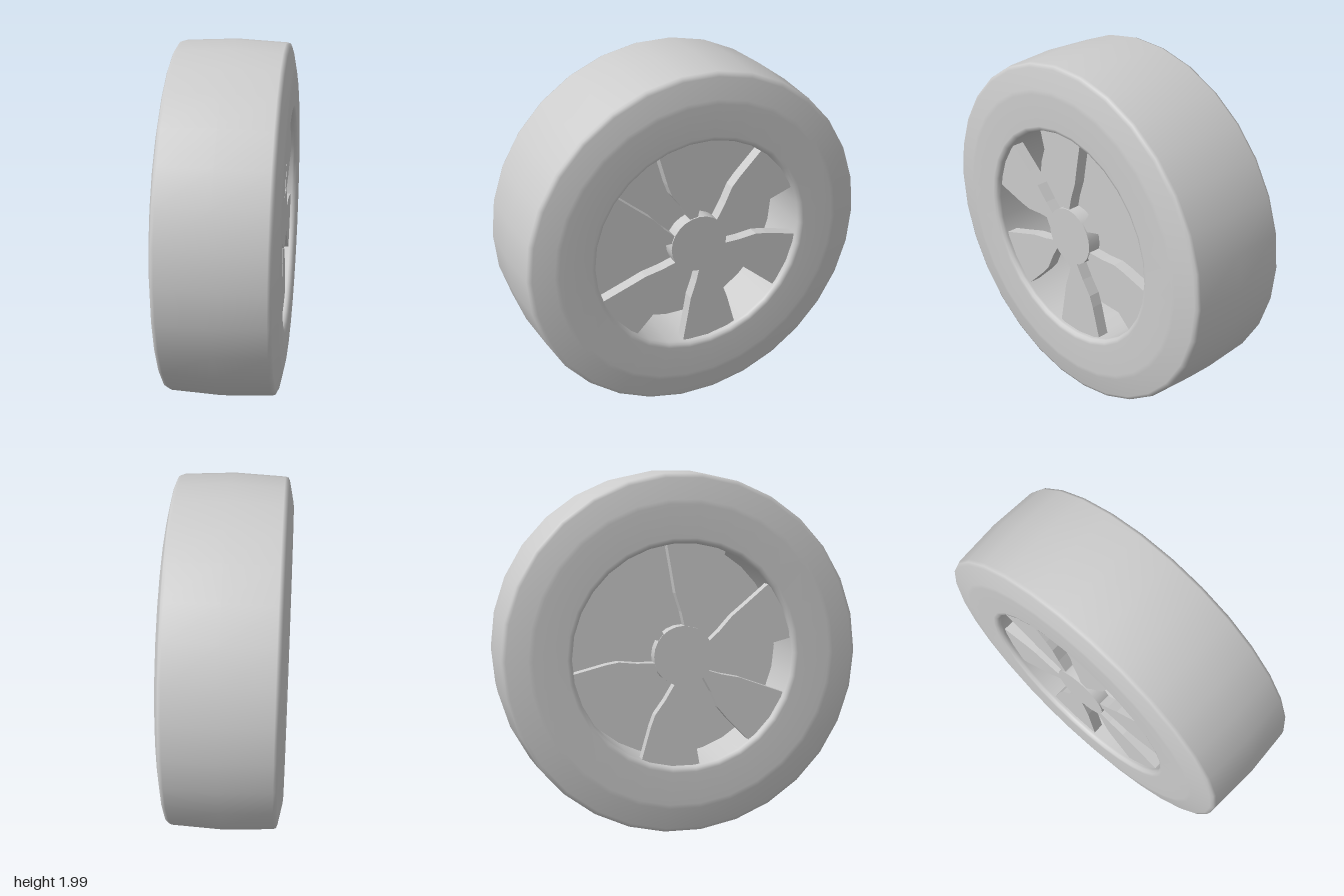
import * as THREE from 'three';

const SIDES = 30;

export function createModel() {
  const model = new THREE.Group();
  model.name = 'wheel';
  const grey = new THREE.MeshStandardMaterial({ color: 0xcccccc });
  grey.name = 'light grey';
  const greyThin = grey.clone();
  greyThin.side = THREE.DoubleSide;

  const add = (name, geometry, material = grey) => {
    const mesh = new THREE.Mesh(geometry, material);
    mesh.name = name;
    model.add(mesh);
    return mesh;
  };

  // Tyre and rim barrel: half profile (radius, width), mirrored, turned about x
  const half = [
    [0.61, 0], [0.61, 0.3], [0.613, 0.312], [0.622, 0.325], [0.64, 0.33],
    [0.82, 0.33], [0.845, 0.327], [0.96, 0.304], [0.978, 0.296], [0.984, 0.28],
  ];
  const profile = [
    ...half.map(([r, w]) => new THREE.Vector2(r, -w)),
    new THREE.Vector2(0.998, 0),
    ...half.slice().reverse().map(([r, w]) => new THREE.Vector2(r, w)),
  ];
  add('tyre', new THREE.LatheGeometry(profile, SIDES).rotateZ(-Math.PI / 2));

  // Web closing the middle of the barrel
  add('middleDisc', new THREE.CircleGeometry(0.615, SIDES).rotateY(Math.PI / 2), greyThin);

  // Curved spoke outline, narrow at the hub and wide at the rim
  const outline = [
    [-0.03, 0.1], [-0.005, 0.1], [-0.005, 0.165], [0.012, 0.24], [0.045, 0.34],
    [0.06, 0.43], [0.095, 0.625], [-0.07, 0.635], [-0.24, 0.59], [-0.182, 0.385],
    [-0.158, 0.32], [-0.1, 0.24], [-0.052, 0.16],
  ].map(([x, y]) => new THREE.Vector2(x, y));
  const spoke = new THREE.ExtrudeGeometry(new THREE.Shape(outline), {
    depth: 0.065, bevelEnabled: false,
  }).translate(0, 0, -0.0325).rotateY(Math.PI / 2);

  // Six spokes and a hub cap on each face
  const hub = new THREE.CylinderGeometry(0.165, 0.165, 0.075, 24).rotateZ(-Math.PI / 2);
  for (const side of [1, -1]) {
    const label = side > 0 ? 'left' : 'right';
    for (let i = 0; i < 6; i++) {
      const mesh = add(`${label}Spoke${i + 1}`, spoke);
      mesh.position.set(side * 0.26, 1, 0);
      mesh.rotation.x = (i * Math.PI) / 3;
    }
    add(`${label}Hub`, hub).position.set(side * 0.262, 1, 0);
  }

  // Stand the wheel on the ground
  for (const name of ['tyre', 'middleDisc']) model.getObjectByName(name).position.y = 1;
  return model;
}
